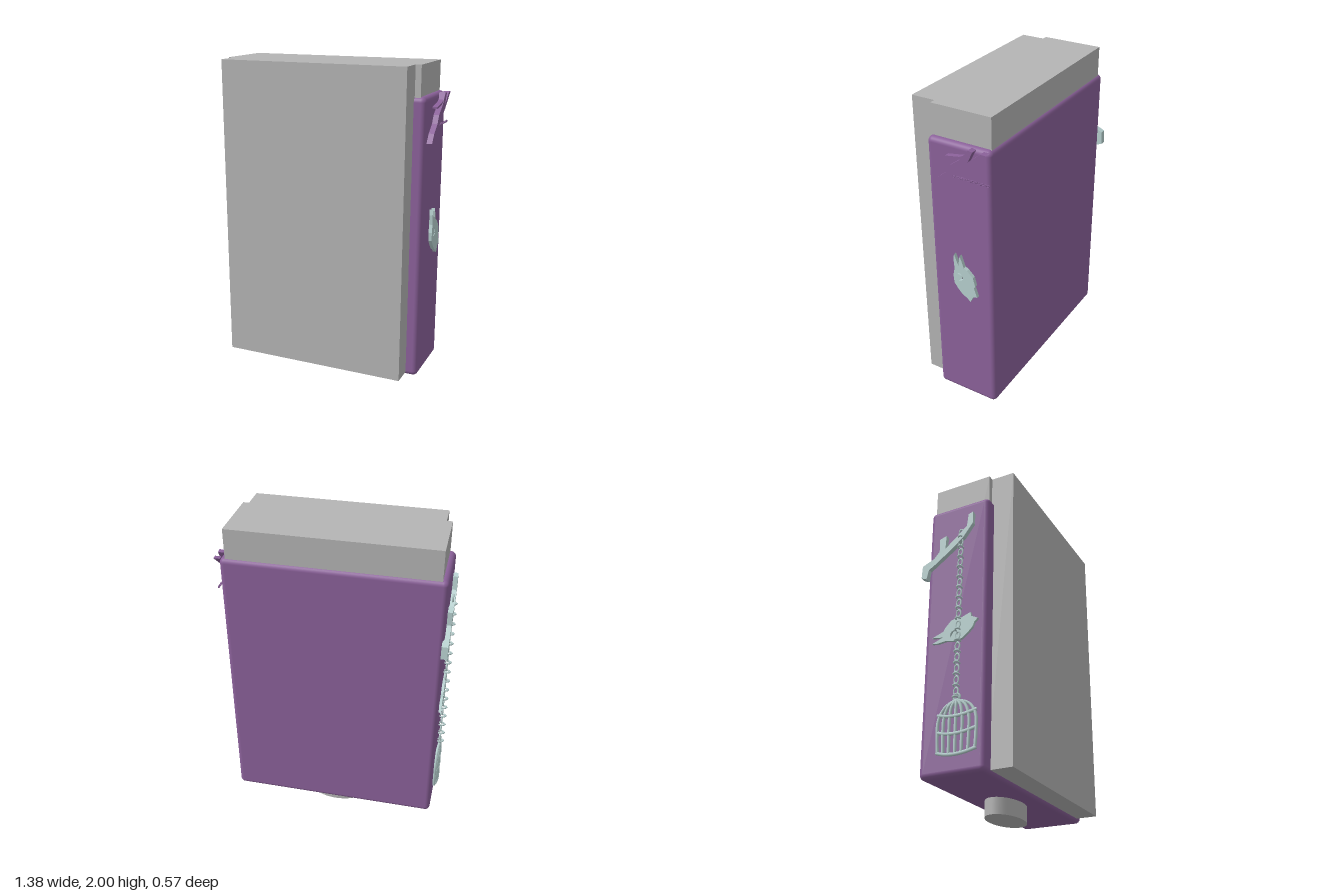
import * as THREE from 'three';
import { RoundedBoxGeometry } from 'three/addons/geometries/RoundedBoxGeometry.js';

const mat = (name, color) => Object.assign(new THREE.MeshStandardMaterial({ color }), { name });

export function createModel() {
  const gray = mat('gray', 0xb4b4b4);
  const purple = mat('purple', 0x8b619a);
  const teal = mat('paleTeal', 0xb6cfce);
  const model = new THREE.Group();

  const add = (parent, name, geometry, material, x = 0, y = 0, z = 0) => {
    const m = new THREE.Mesh(geometry, material);
    m.name = name;
    m.position.set(x, y, z);
    parent.add(m);
    return m;
  };
  const outline = (pts) => new THREE.Shape(pts.map(([x, y]) => new THREE.Vector2(x, y)));
  const extrude = (shape, depth) =>
    new THREE.ExtrudeGeometry(shape, { depth, bevelEnabled: false, curveSegments: 10 });

  // Case, with the stepped block standing in it
  add(model, 'case', new RoundedBoxGeometry(1.305, 1.72, 0.405, 4, 0.03), purple, -0.0025, 0.96, -0.0525);
  add(model, 'innerBlock', new THREE.BoxGeometry(1.236, 1.86, 0.375), gray, -0.002, 1.07, -0.0525);
  add(model, 'frontBlock', new THREE.BoxGeometry(1.165, 1.88, 0.15), gray, -0.002, 1.06, 0.206);

  // Oval foot
  const foot = add(model, 'foot', new THREE.CylinderGeometry(1, 1, 0.14, 48), gray, -0.002, 0.07, -0.06);
  foot.scale.set(0.183, 1, 0.105);

  // Groups whose local x-y plane lies on a side wall, with +z pointing outward
  const sideGroup = (name, sign) => {
    const g = new THREE.Group();
    g.name = name;
    g.rotation.y = sign * Math.PI / 2;
    g.position.x = sign * 0.645;
    model.add(g);
    return g;
  };
  const left = sideGroup('leftDecoration', 1);   // local x = -z
  const right = sideGroup('rightDecoration', -1); // local x = +z

  // Eared animal head with a crescent eye cut through
  const head = (parent, x, y, turn) => {
    const s = outline([
      [-7, 14.5], [-4.3, 7.6], [-3.2, 14.5], [-0.6, 7.1], [1.5, 6], [5.3, 2.3], [6.8, -3], [5.8, -4.4],
      [7.9, -10.4], [5.3, -10.9], [3.1, -15.2], [1, -13], [-1.6, -12], [-4.8, -8.8], [-7.5, -5.1],
      [-8, 0.2], [-7, 5], [-7.5, 11],
    ].map(([a, b]) => [a / 100, b / 100]));
    const eye = new THREE.Path();
    eye.absarc(-0.04, 0, 0.026, -1.9, 2.2, false);
    eye.quadraticCurveTo(0.012, -0.002, -0.048, -0.025);
    s.holes.push(eye);
    add(parent, 'animalHead', extrude(s, 0.026), teal, x, y, 0).rotation.z = turn;
  };
  head(left, 0.08, 0.99, 0);
  head(right, -0.05, 0.96, Math.PI / 2);

  // Chain of links, alternately flat and on edge
  const chain = (parent, material, from, to, radius, z) => {
    const g = new THREE.Group();
    g.name = 'chain';
    const a = new THREE.Vector2(...from), b = new THREE.Vector2(...to);
    const n = Math.round(a.distanceTo(b) / (radius * 1.9));
    const link = new THREE.TorusGeometry(radius, radius * 0.32, 5, 10);
    link.scale(1.25, 0.8, 1);
    for (let i = 0; i <= n; i++) {
      const p = a.clone().lerp(b, i / n);
      const m = add(g, 'link', link, material, p.x, p.y, z);
      m.rotation.z = Math.atan2(b.y - a.y, b.x - a.x);
      m.rotation.x = i % 2 ? Math.PI / 2 : 0;
    }
    parent.add(g);
  };
  chain(left, purple, [0.03, 1.634], [0.245, 1.634], 0.008, 0.02);
  chain(right, teal, [-0.025, 1.6], [-0.025, 0.53], 0.018, 0.025);

  // Branches
  add(left, 'branch', extrude(outline([
    [-0.106, 1.554], [-0.064, 1.576], [-0.01, 1.613], [0.032, 1.65], [0.138, 1.724], [0.244, 1.815],
    [0.212, 1.815], [0.133, 1.75], [0.165, 1.815], [0.138, 1.82], [0.08, 1.75], [0.016, 1.703],
    [-0.01, 1.655], [-0.07, 1.607],
  ]), 0.038), purple);
  add(left, 'twig', extrude(outline([
    [-0.01, 1.742], [0.09, 1.755], [0.125, 1.775], [0.115, 1.785], [0.08, 1.768], [-0.01, 1.753],
  ]), 0.035), purple);
  add(right, 'branch', extrude(outline([
    [0.03, 1.71], [0.02, 1.63], [-0.06, 1.56], [-0.125, 1.51], [-0.12, 1.6], [-0.165, 1.585],
    [-0.165, 1.5], [-0.2, 1.46], [-0.28, 1.425], [-0.285, 1.345], [-0.25, 1.33], [-0.235, 1.39],
    [-0.2, 1.41], [-0.07, 1.5], [0, 1.56], [0.06, 1.64], [0.06, 1.72],
  ]), 0.038), teal);

  // Domed cage hanging from the chain
  const cage = new THREE.Group();
  cage.name = 'cage';
  cage.position.set(-0.018, 0, 0.008);
  right.add(cage);
  const bar = (name, pts, r) => {
    const curve = new THREE.CatmullRomCurve3(pts.map(([x, y, z]) => new THREE.Vector3(x, y, z)));
    add(cage, name, new THREE.TubeGeometry(curve, 16, r, 6), teal);
  };
  for (let i = -3; i <= 3; i++) {
    const u = i / 3, z = 0.022 - 0.012 * u * u;
    bar('cageBar', [[u * 0.115, 0.21 + 0.02 * u * u, z], [u * 0.12, 0.32, z], [u * 0.115, 0.42, z],
      [u * 0.075, 0.485, z], [0, 0.515, 0.018]], 0.009);
  }
  for (const y of [0.205, 0.32, 0.42])
    bar('cageBand', [[-0.122, y + 0.025, 0.008], [-0.06, y + 0.006, 0.02], [0, y, 0.024],
      [0.06, y + 0.006, 0.02], [0.122, y + 0.025, 0.008]], 0.01);
  add(cage, 'cageRing', new THREE.TorusGeometry(0.02, 0.007, 6, 14), teal, 0, 0.53, 0.018);

  return model;
}
